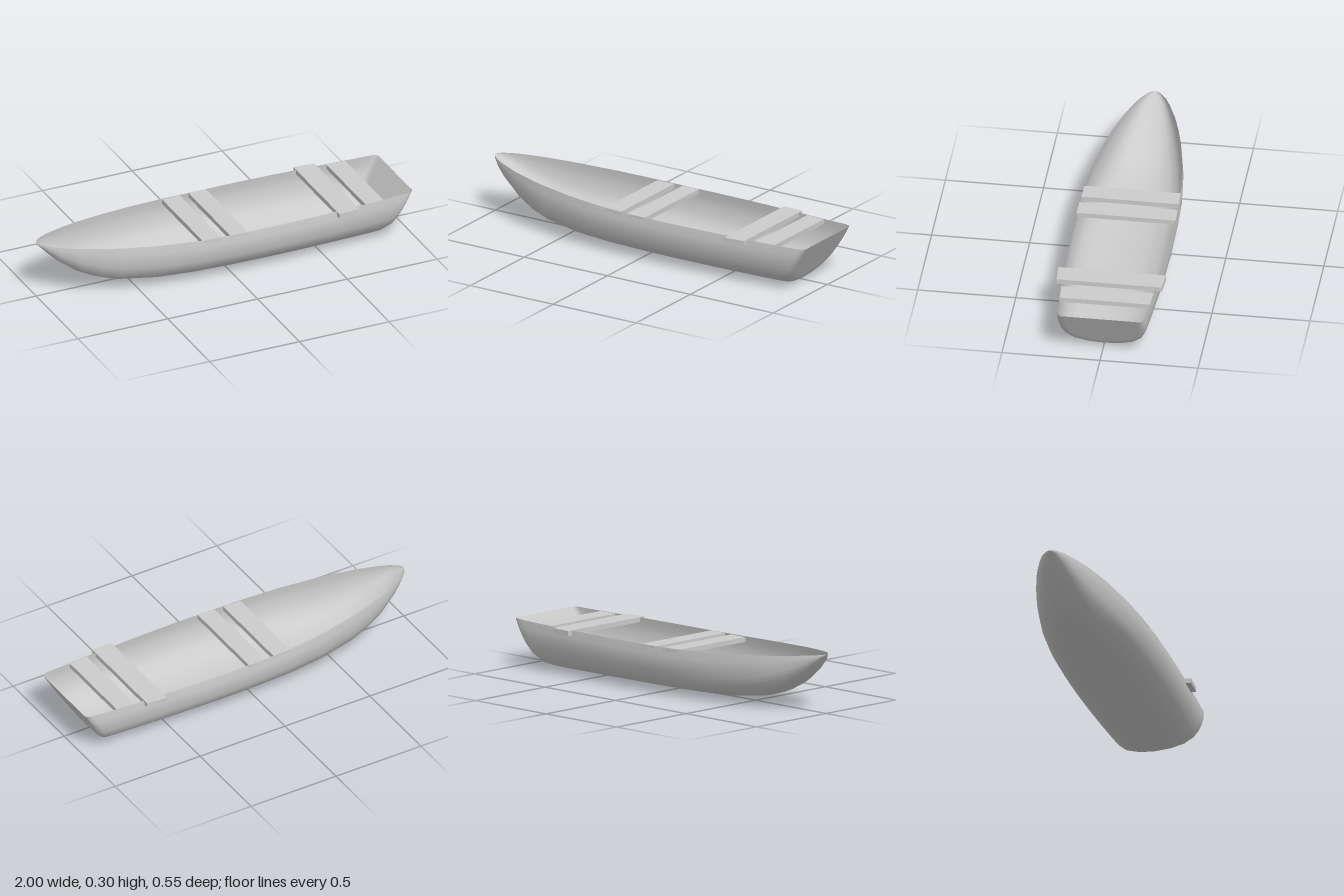
import * as THREE from 'three';

const grey = new THREE.MeshStandardMaterial({ color: 0xcccccc });
const greyShell = new THREE.MeshStandardMaterial({ color: 0xcccccc, side: THREE.DoubleSide });

// Half cross-section, gunwale to keel: [share of half beam, share of depth]
const HALF = [[0.978, 1], [1, 0.83], [0.995, 0.69], [0.96, 0.49], [0.875, 0.3], [0.68, 0.13], [0.37, 0.03], [0, 0]];
const SECTION = [...HALF, ...HALF.slice(0, -1).reverse().map(([w, h]) => [-w, h])];

// Stations from bow to stern: [x at the gunwale, half beam, keel y, gunwale y]
const STATIONS = [
  [-1, 0.004, 0.3, 0.305], [-0.985, 0.03, 0.285, 0.304], [-0.95, 0.06, 0.247, 0.301],
  [-0.9, 0.088, 0.198, 0.297], [-0.8, 0.132, 0.122, 0.288], [-0.7, 0.164, 0.072, 0.281],
  [-0.6, 0.19, 0.042, 0.274], [-0.4, 0.228, 0.018, 0.263], [-0.2, 0.249, 0.011, 0.255],
  [0, 0.256, 0.008, 0.251], [0.2, 0.258, 0.006, 0.25], [0.4, 0.254, 0.005, 0.25],
  [0.6, 0.247, 0.004, 0.25], [0.8, 0.237, 0.003, 0.25], [0.92, 0.229, 0.002, 0.251],
  [0.97, 0.225, 0.003, 0.252], [0.99, 0.218, 0.01, 0.252], [1, 0.205, 0.025, 0.252],
];

// Points of one station; the stern stations lean with the raked transom
function ring([x, beam, keel, top], scale = 1) {
  const lean = 0.145 * THREE.MathUtils.smoothstep(x, 0.2, 0.97);
  return SECTION.map(([w, h]) => {
    const drop = (1 - h) * (top - keel) * scale;
    return [x - lean * drop / 0.25, top - drop, w * beam * scale];
  });
}

// Open shell lofted through the stations, closed by a transom of shrinking rings
function hullGeometry() {
  const rings = STATIONS.map((s) => ring(s));
  const stern = STATIONS[STATIONS.length - 1];
  for (const scale of [0.9, 0.65, 0.35, 0.005]) rings.push(ring(stern, scale));
  const n = SECTION.length;
  const index = [];
  for (let i = 0; i < rings.length - 1; i++) {
    for (let j = 0; j < n - 1; j++) {
      const a = i * n + j;
      index.push(a, a + 1, a + n, a + 1, a + n + 1, a + n);
    }
  }
  const geometry = new THREE.BufferGeometry();
  geometry.setAttribute('position', new THREE.Float32BufferAttribute(rings.flat(2), 3));
  geometry.setIndex(index);
  geometry.computeVertexNormals();
  return geometry;
}

// Plank across the boat, its ends following the taper of the sides
function plank(name, x0, x1, half0, half1, top) {
  const thick = 0.025;
  const shape = new THREE.Shape([
    new THREE.Vector2(x0, -half0), new THREE.Vector2(x1, -half1),
    new THREE.Vector2(x1, half1), new THREE.Vector2(x0, half0),
  ]);
  const geometry = new THREE.ExtrudeGeometry(shape, { depth: thick, bevelEnabled: false });
  geometry.rotateX(-Math.PI / 2).translate(0, top - thick, 0);
  const mesh = new THREE.Mesh(geometry, grey);
  mesh.name = name;
  return mesh;
}

export function createModel() {
  const boat = new THREE.Group();
  boat.name = 'rowingBoat';

  const hull = new THREE.Mesh(hullGeometry(), greyShell);
  hull.name = 'hull';
  boat.add(hull);

  // Thwarts inside the hull, and one wider board over the gunwales
  boat.add(
    plank('forwardThwart', -0.185, -0.085, 0.246, 0.25, 0.25),
    plank('middleThwart', -0.035, 0.062, 0.251, 0.253, 0.25),
    plank('crossBoard', 0.56, 0.672, 0.275, 0.268, 0.251),
    plank('sternThwart', 0.725, 0.828, 0.236, 0.23, 0.248),
  );
  return boat;
}
